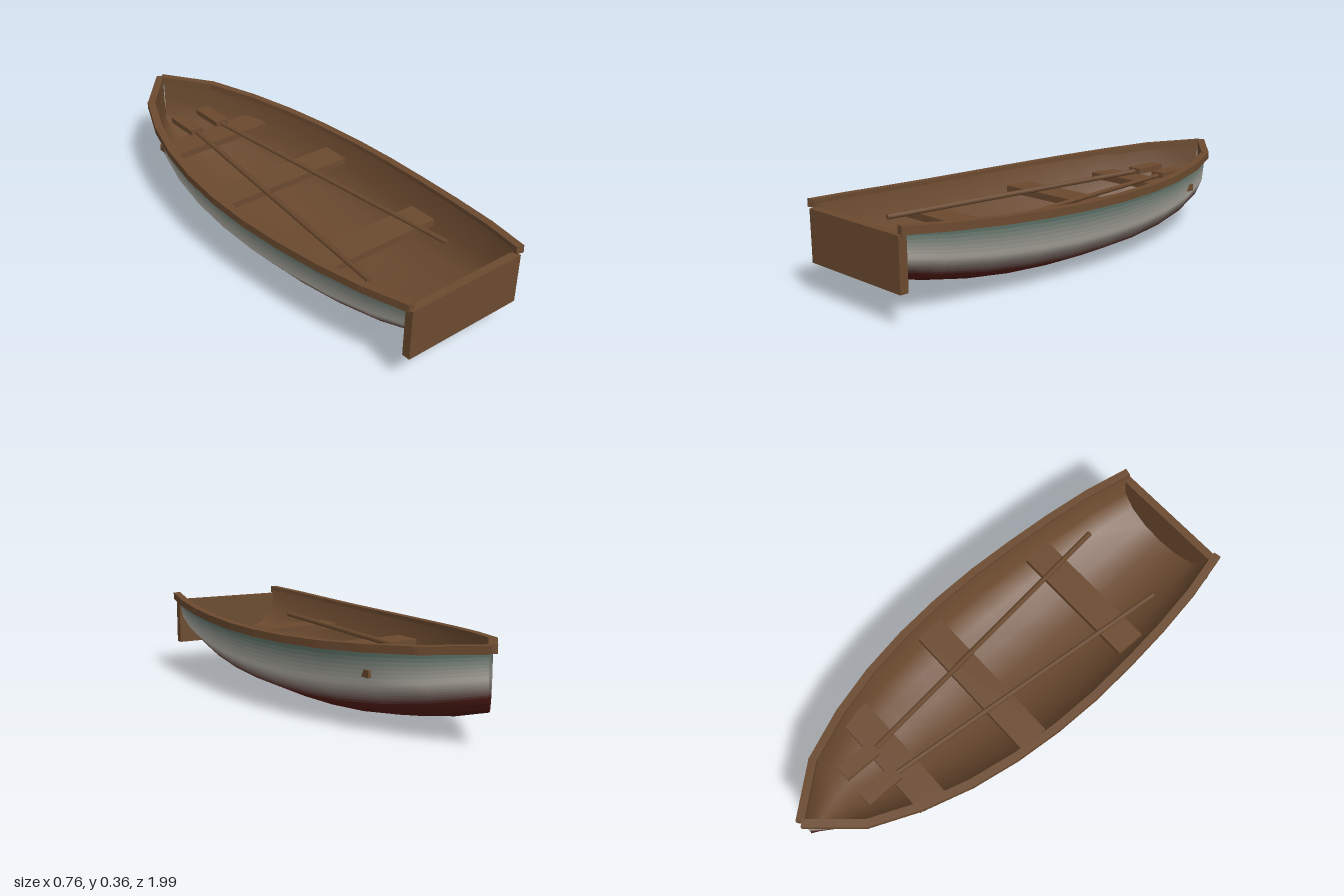
import * as THREE from 'three';

// Stations from bow (-z) to stern (+z): [z, half width]
const STATIONS = [
  [-0.98, 0.008], [-0.8, 0.165], [-0.6, 0.25], [-0.4, 0.307], [-0.2, 0.342], [0, 0.36],
  [0.2, 0.363], [0.4, 0.353], [0.6, 0.335], [0.8, 0.307], [0.97, 0.265],
];
const SIDES = 8; // flat panels across the hull section
const rimY = (z) => 0.302 + 0.045 * z * z;
const keelY = (z) => 0.004 + 0.135 * Math.pow(Math.abs(z), 2.4);

const wood = new THREE.MeshStandardMaterial({ color: 0x6b4a2f });
const woodInside = new THREE.MeshStandardMaterial({ color: 0x6b4a2f, side: THREE.DoubleSide });

// Hull skin as a grid of stations x section points; inset makes the inner lining
function skin(inset, flip) {
  const pos = [], index = [], cols = SIDES + 1;
  STATIONS.forEach(([z, half], i) => {
    const w = Math.max(half - inset, 0.002), top = rimY(z), depth = top - keelY(z) - inset;
    for (let j = 0; j < cols; j++) {
      const a = -Math.PI / 2 + (j / SIDES) * Math.PI;
      const drop = Math.pow(Math.max(Math.cos(a), 0), 0.8);
      pos.push(w * Math.sin(a), top - depth * drop, inset && i === 0 ? z + inset : z);
      if (i && j) {
        const d = i * cols + j, c = d - 1, b = d - cols, e = b - 1;
        if (flip) index.push(e, c, b, b, c, d);
        else index.push(e, b, c, b, d, c);
      }
    }
  });
  const g = new THREE.BufferGeometry();
  g.setAttribute('position', new THREE.Float32BufferAttribute(pos, 3));
  g.setIndex(index);
  g.computeVertexNormals();
  return g;
}

// A lengthwise band of the hull on both sides, between two fractions of one panel
function paintBand(hull, panel, t0, t1) {
  const out = { position: [], normal: [] }, index = [], cols = SIDES + 1;
  const a = new THREE.Vector3(), b = new THREE.Vector3();
  for (const mirrored of [false, true]) {
    const base = out.position.length / 3;
    STATIONS.forEach((_, i) => {
      for (const t of [t0, t1]) {
        const j0 = mirrored ? SIDES - panel : panel;
        const j1 = mirrored ? j0 - 1 : j0 + 1;
        for (const name of ['position', 'normal']) {
          a.fromBufferAttribute(hull.attributes[name], i * cols + j0);
          b.fromBufferAttribute(hull.attributes[name], i * cols + j1);
          a.lerp(b, t);
          if (name === 'normal') a.normalize();
          out[name].push(a.x, a.y, a.z);
        }
      }
      if (i) {
        const d = base + i * 2 + 1, c = d - 1, f = d - 2, e = d - 3;
        if (mirrored) index.push(e, c, f, f, c, d);
        else index.push(e, f, c, f, d, c);
      }
    });
  }
  const g = new THREE.BufferGeometry();
  for (const name in out) g.setAttribute(name, new THREE.Float32BufferAttribute(out[name], 3));
  g.setIndex(index);
  return g;
}

function part(parent, name, geometry, material, x = 0, y = 0, z = 0) {
  const m = new THREE.Mesh(geometry, material);
  m.name = name;
  m.position.set(x, y, z);
  parent.add(m);
  return m;
}

export function createModel() {
  const boat = new THREE.Group();
  boat.name = 'rowingBoat';

  // Painted hull: green at the rim, fading to white, then to dark red below
  const hull = new THREE.Group();
  hull.name = 'hull';
  boat.add(hull);
  const shell = skin(0, false);
  const paints = [0x2c6055, 0xc4c0b6, 0x5c211b, 0x511a16, 0x4a1713].map((c) => new THREE.Color(c));
  for (let p = 0; p < SIDES / 2; p++) {
    const steps = p < 2 ? 8 : 2;
    for (let k = 0; k < steps; k++) {
      const color = paints[p].clone().lerp(paints[p + 1], (k + 0.5) / steps);
      const paint = new THREE.MeshStandardMaterial({ color, side: THREE.DoubleSide });
      part(hull, 'hullPaintBand', paintBand(shell, p, k / steps, (k + 1) / steps), paint);
    }
  }
  part(boat, 'innerLining', skin(0.016, true), woodInside);

  // Stern board
  part(boat, 'transom', new THREE.BoxGeometry(0.526, 0.204, 0.034), wood, 0, 0.226, 0.981);

  // Gunwale: one short rail per station gap, mirrored
  const gunwale = new THREE.Group();
  gunwale.name = 'gunwale';
  boat.add(gunwale);
  for (const side of [-1, 1]) {
    const pts = STATIONS.map(([z, w]) => new THREE.Vector3(side * w, rimY(z) + 0.002, z));
    pts[pts.length - 1].z = 0.985;
    for (let i = 1; i < pts.length; i++) {
      const length = pts[i].distanceTo(pts[i - 1]) + 0.014;
      const mid = pts[i].clone().add(pts[i - 1]).multiplyScalar(0.5);
      const rail = part(gunwale, 'gunwaleRail', new THREE.BoxGeometry(0.032, 0.03, length), wood, mid.x, mid.y, mid.z);
      rail.lookAt(pts[i]);
    }
  }

  // Seats: [z, width]
  for (const [z, width] of [[-0.55, 0.485], [-0.085, 0.64], [0.492, 0.568]]) {
    part(boat, 'seat', new THREE.BoxGeometry(width, 0.028, 0.126), wood, 0, 0.226, z);
  }

  // Oars laid across the seats
  for (const side of [-1, 1]) {
    const oar = new THREE.Group();
    oar.name = side > 0 ? 'leftOar' : 'rightOar';
    boat.add(oar);
    const from = new THREE.Vector3(side * 0.063, 0.256, -0.62);
    const to = new THREE.Vector3(side * 0.193, 0.256, 0.71);
    const dir = to.clone().sub(from);
    const mid = from.clone().add(to).multiplyScalar(0.5);
    const shaft = part(oar, 'oarShaft', new THREE.CylinderGeometry(0.011, 0.011, dir.length(), 6), wood, mid.x, mid.y, mid.z);
    shaft.quaternion.setFromUnitVectors(new THREE.Vector3(0, 1, 0), dir.normalize());
    part(oar, 'oarBlade', new THREE.BoxGeometry(0.064, 0.024, 0.164), wood, side * 0.067, 0.26, -0.662);
  }
  return boat;
}
